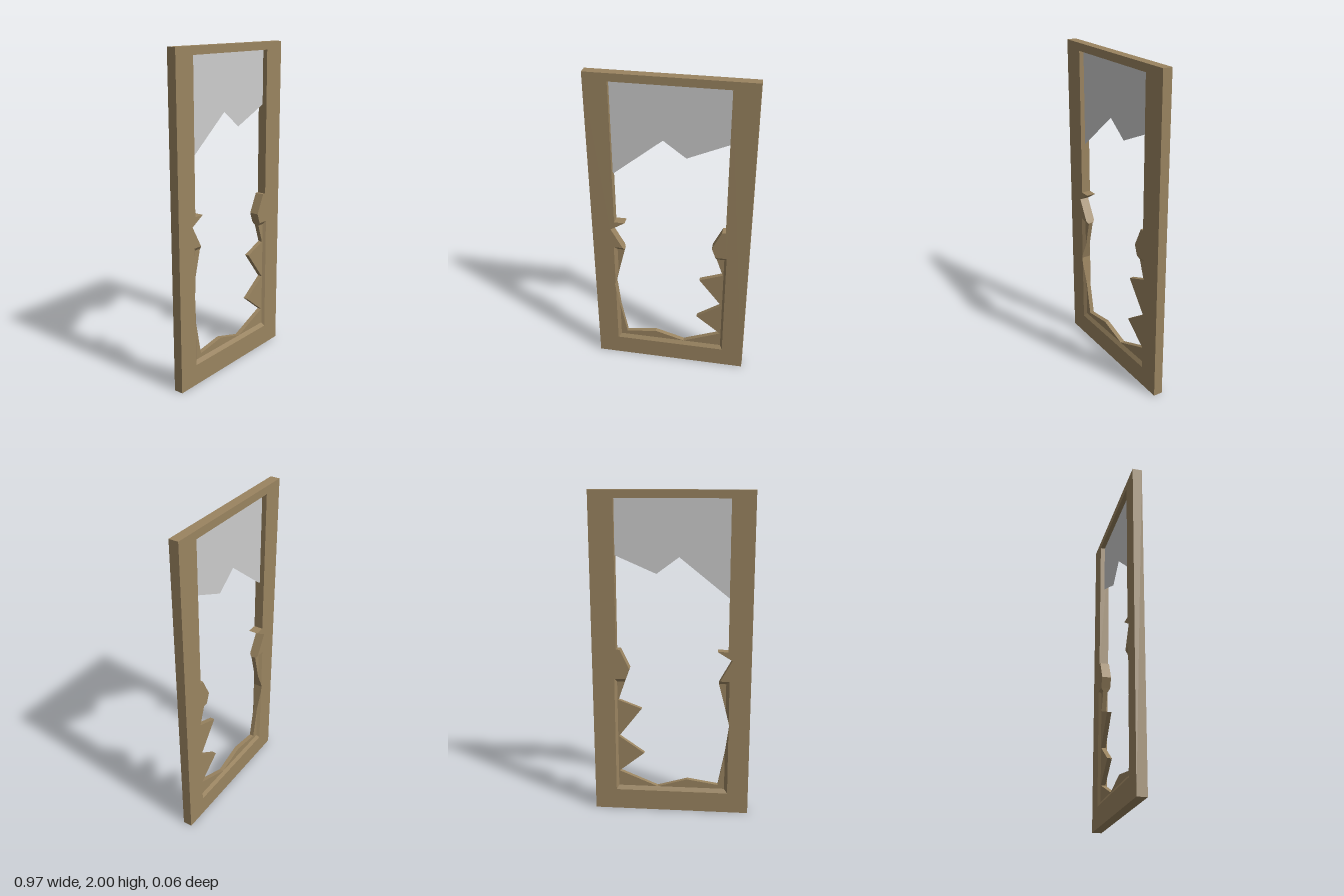
import * as THREE from 'three';

const HALF = 0.029;        // half thickness of the door
const PANEL_HALF = 0.014;  // half thickness of the recessed panel
// outer (L, R, B, T) and inner (l, r, b, t) edges of the panel bevel
const L = -0.355, R = 0.35, B = 0.13, T = 0.87;
const l = -0.335, r = 0.335, b = 0.155, t = 0.85;

const toPoints = (list) => list.map(([x, y]) => new THREE.Vector2(x, y));

// Half thickness at a point: full on the frame, sloping down to the panel
function halfThickness(x, y) {
  const inset = Math.min((x - L) / (l - L), (R - x) / (R - r), (y - B) / (b - B), (T - y) / (T - t));
  return THREE.MathUtils.lerp(HALF, PANEL_HALF, THREE.MathUtils.clamp(inset, 0, 1));
}

// Slab with the given outline whose front and back follow halfThickness
function slab(name, outline, material, hole) {
  const shape = new THREE.Shape(toPoints(outline));
  if (hole) shape.holes.push(new THREE.Path(toPoints(hole)));
  const geometry = new THREE.ExtrudeGeometry(shape, { depth: 1, bevelEnabled: false });
  const p = geometry.attributes.position;
  for (let i = 0; i < p.count; i++) {
    const side = p.getZ(i) > 0.5 ? 1 : -1;
    p.setZ(i, side * halfThickness(p.getX(i), p.getY(i)));
  }
  geometry.computeVertexNormals();
  const mesh = new THREE.Mesh(geometry, material);
  mesh.name = name;
  return mesh;
}

export function createModel() {
  const wood = new THREE.MeshStandardMaterial({ color: 0x9a8460 });
  wood.name = 'wood';
  const pane = new THREE.MeshStandardMaterial({ color: 0xcccccc, side: THREE.DoubleSide });
  pane.name = 'glass';

  const door = new THREE.Group();
  door.name = 'brokenDoor';

  // Frame: window opening, broken middle rail and panel opening in one hole
  door.add(slab('frame',
    [[-0.485, 0], [0.485, 0], [0.485, 2], [-0.485, 2]], wood,
    [[-0.345, 1.953], [0.337, 1.953], [0.337, 1.055], [0.315, 1.055], [0.257, 0.935], [0.281, T],
      [R, T], [R, B], [L, B], [L, 0.544], [-0.36, 0.58], [L, 0.6], [L, T],
      [-0.298, T], [-0.37, 1.0], [-0.28, 1.055], [-0.345, 1.055]]));

  // Sloped moulding left around the panel
  const bevels = {
    bottomBevel: [[L, B], [R, B], [r, b], [l, b]],
    rightBevel: [[R, B], [R, T], [r, t], [r, b]],
    topRightBevel: [[0.281, T], [R, T], [r, t], [0.288, t]],
    topLeftBevel: [[L, T], [-0.298, T], [-0.29, 0.855], [-0.291, t], [l, t]],
    lowerLeftBevel: [[L, B], [l, b], [l, 0.4], [L, 0.544]],
    upperLeftBevel: [[L, 0.6], [l, 0.678], [l, t], [L, T]],
  };
  // Splintered remains of the panel
  const splinters = {
    rightSplinters: [[r, b], [r, t], [0.288, t], [0.33, 0.73], [0.185, 0.675], [0.33, 0.49],
      [0.172, 0.38], [0.33, 0.255], [0.088, b]],
    bottomSplinters: [[0.088, b], [-0.1, 0.21], [-0.293, 0.18], [l, 0.4], [l, b]],
    upperLeftSplinter: [[l, 0.678], [-0.291, t], [l, t]],
  };
  for (const [name, outline] of Object.entries({ ...bevels, ...splinters })) {
    door.add(slab(name, outline, wood));
  }

  // Broken glass hanging in the window
  const glass = new THREE.Mesh(new THREE.ShapeGeometry(new THREE.Shape(toPoints(
    [[-0.345, 1.375], [-0.045, 1.615], [0.09, 1.515], [0.337, 1.622], [0.337, 1.953], [-0.345, 1.953]]))), pane);
  glass.name = 'brokenGlass';
  door.add(glass);

  return door;
}
